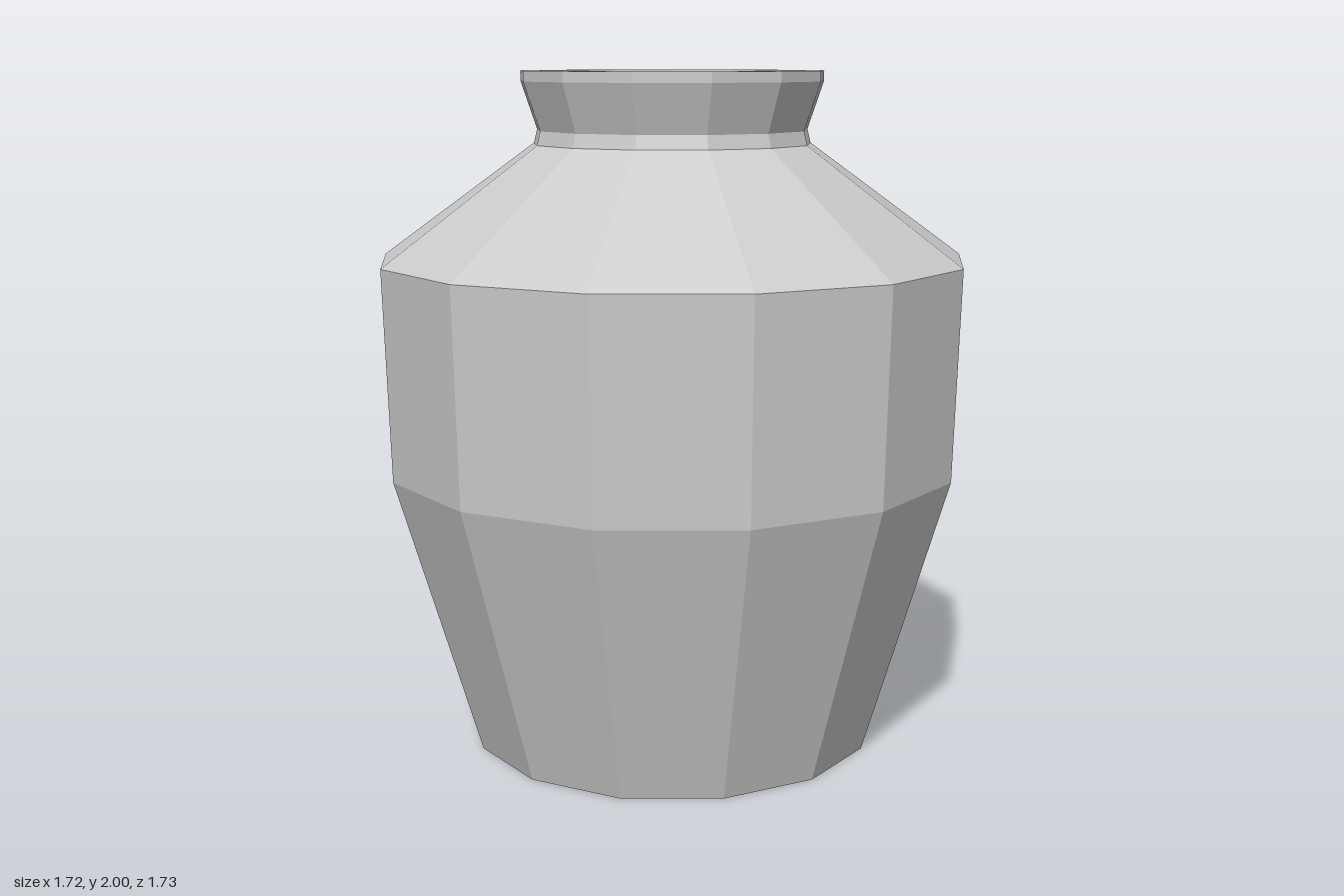
import * as THREE from 'three';

const SIDES = 13;

export function createModel() {
  const group = new THREE.Group();
  group.name = 'vase';
  const material = new THREE.MeshStandardMaterial({ color: 0xcccccc, flatShading: true });

  // Faceted turned part from [radius, height] pairs, with one corner on +x
  function turned(name, profile) {
    const points = profile.map(([r, y]) => new THREE.Vector2(r, y));
    const mesh = new THREE.Mesh(new THREE.LatheGeometry(points, SIDES, Math.PI / 2), material);
    mesh.name = name;
    mesh.position.x = -0.013; // an odd number of sides is centred by its bounds
    group.add(mesh);
  }

  // Flat base, tapering belly and sloped shoulder
  turned('body', [[0, 0], [0.606, 0], [0.855, 0.84], [0.873, 1.455], [0.412, 1.79]]);

  // Pinched neck, flared collar and flat lip
  turned('neck', [[0.412, 1.79], [0.402, 1.83], [0.45, 1.97], [0.45, 2], [0.4, 2]]);

  // Inner wall of the mouth, closed by a shallow dished floor
  turned('mouth', [[0.4, 2], [0.4, 1.85], [0, 1.82]]);

  return group;
}
